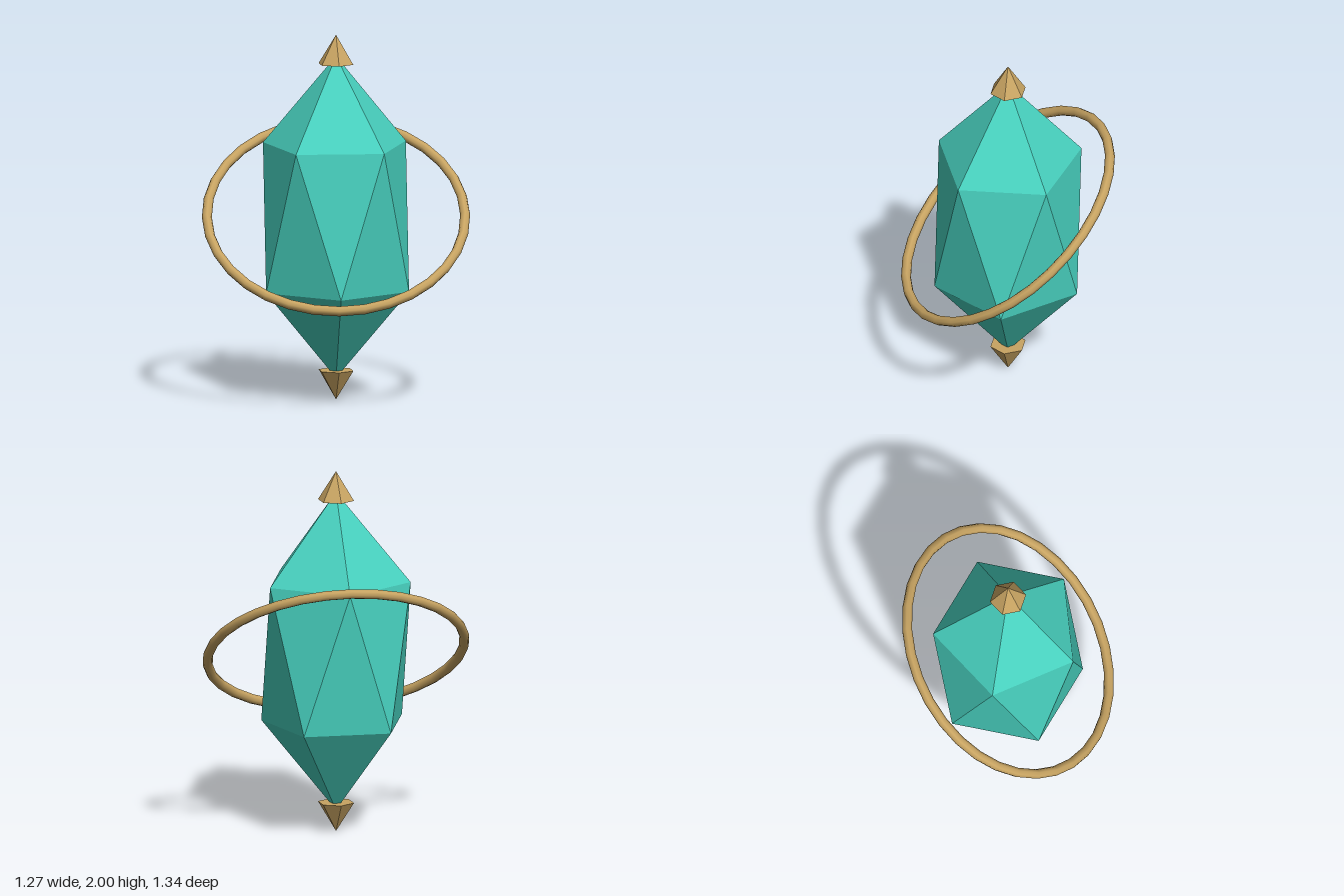
import * as THREE from 'three';
import { ConvexGeometry } from 'three/addons/geometries/ConvexGeometry.js';

export function createModel() {
  const group = new THREE.Group();
  const teal = new THREE.MeshStandardMaterial({ color: 0x48d1bf, flatShading: true });
  const gold = new THREE.MeshStandardMaterial({ color: 0xc8a462 });
  const goldFlat = new THREE.MeshStandardMaterial({ color: 0xc8a462, flatShading: true });

  const add = (name, geometry, material) => {
    const mesh = new THREE.Mesh(geometry, material);
    mesh.name = name;
    group.add(mesh);
    return mesh;
  };

  // Crystal: a tall icosahedron, two opposed five-sided rings between two tips
  const points = [];
  for (const s of [1, -1]) {
    points.push(new THREE.Vector3(0, 1 + s * 0.883, 0));
    for (let i = 0; i < 5; i++) {
      const a = (i / 5) * Math.PI * 2;
      points.push(new THREE.Vector3(s * 0.408 * Math.cos(a), 1 + s * 0.395, s * 0.408 * Math.sin(a)));
    }
  }
  add('crystal', new ConvexGeometry(points), teal);

  // Six-sided caps over both tips
  const cap = new THREE.ConeGeometry(0.1, 0.16, 6);
  add('topCap', cap, goldFlat).position.y = 1.92;
  const bottomCap = add('bottomCap', cap, goldFlat);
  bottomCap.position.y = 0.08;
  bottomCap.rotation.x = Math.PI;

  // Tilted orbiting ring
  const ring = add('ring', new THREE.TorusGeometry(0.7, 0.027, 8, 32).rotateX(Math.PI / 2), gold);
  ring.position.y = 1.005;
  ring.rotation.set(0.46, 0, -0.51);

  return group;
}
